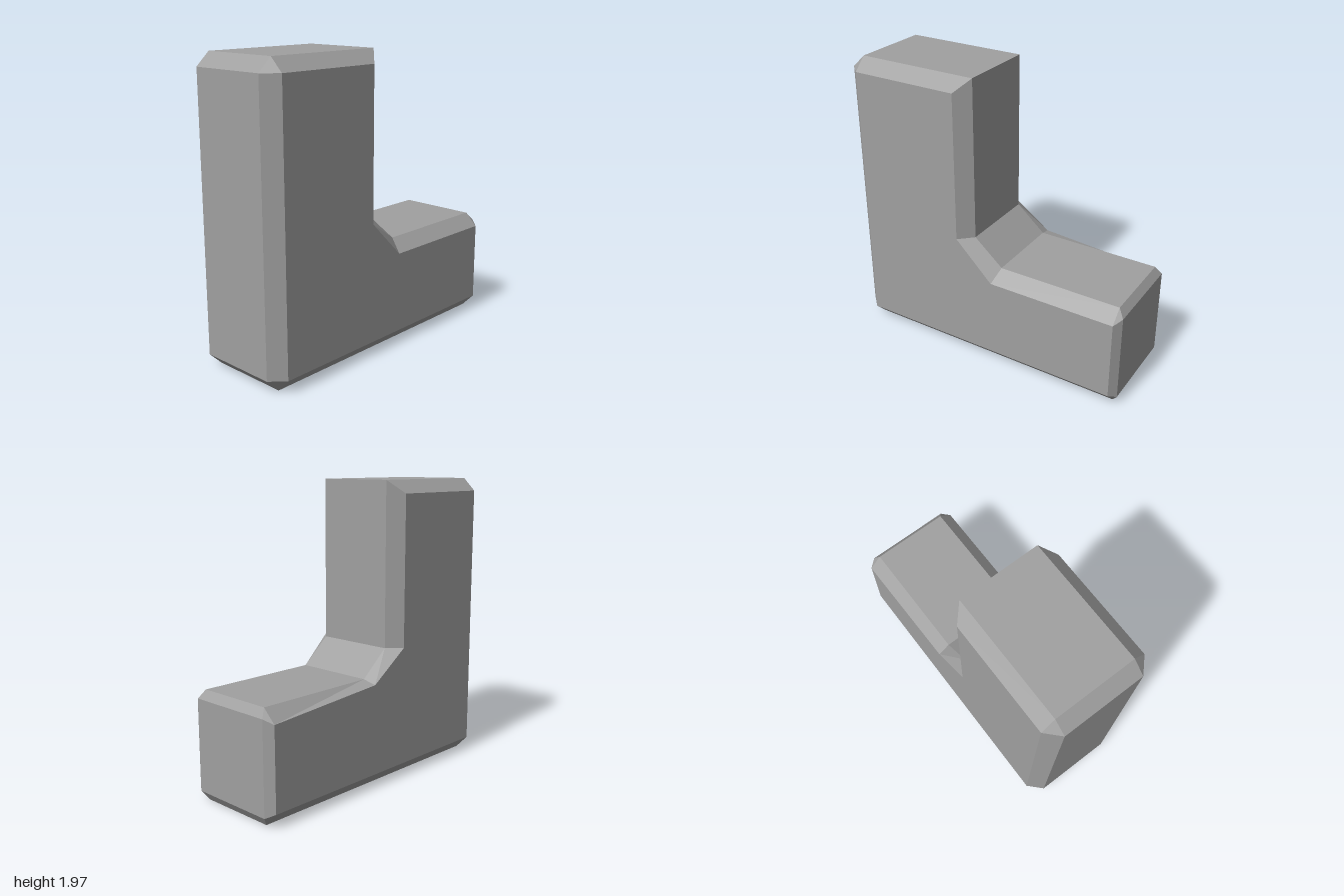
import * as THREE from 'three';

// Outline of the bevelled L, counter-clockwise from the front: x, y, half depth, index of its face corner
const RIM = [
  [-0.91, 0, 0.27, 0], [0.96, 0, 0.27, 1], [1, 0.06, 0.3, 1], [1, 0.66, 0.3, 2],
  [0.96, 0.715, 0.27, 2], [0.12, 0.715, 0.27, 3], [-0.08, 0.885, 0.27, 4],
  [-0.08, 1.965, 0.27, 5], [-0.91, 1.965, 0.27, 6], [-1, 1.88, 0.27, 6], [-1, 0.09, 0.27, 0],
];
const DEPTH = 0.357;

// Corners of a flat face; the inner elbow differs between front and back
const faceCorners = (elbow) => [
  [-0.91, 0.09], [0.96, 0.09], [0.96, 0.63], elbow, [-0.17, 0.885], [-0.17, 1.88], [-0.91, 1.88],
];

function bodyGeometry() {
  const front = faceCorners([0.09, 0.63]);
  const back = faceCorners([0.11, 0.69]);
  const rings = [
    RIM.map((p) => [...front[p[3]], DEPTH]),
    RIM.map(([x, y, z]) => [x, y, z]),
    RIM.map(([x, y, z]) => [x, y, -z]),
    RIM.map((p) => [...back[p[3]], -DEPTH]),
  ];
  const positions = [];
  const same = (p, q) => p.every((v, i) => v === q[i]);
  const triangle = (a, b, c) => {
    if (!same(a, b) && !same(b, c) && !same(c, a)) positions.push(...a, ...b, ...c);
  };

  // Bevels and sides between neighbouring rings
  for (let r = 0; r < 3; r++) {
    const a = rings[r], b = rings[r + 1];
    for (let i = 0; i < a.length; i++) {
      const j = (i + 1) % a.length;
      triangle(a[i], b[i], a[j]);
      triangle(b[i], b[j], a[j]);
    }
  }

  // Flat front and back faces
  const cap = (corners, z, flip) => {
    const outline = corners.map(([x, y]) => new THREE.Vector2(x, y));
    for (const tri of THREE.ShapeUtils.triangulateShape(outline, [])) {
      const [p, q, s] = tri.map((i) => [...corners[i], z]);
      if (flip) triangle(p, s, q);
      else triangle(p, q, s);
    }
  };
  cap(front, DEPTH, false);
  cap(back, -DEPTH, true);

  const geometry = new THREE.BufferGeometry();
  geometry.setAttribute('position', new THREE.Float32BufferAttribute(positions, 3));
  geometry.computeVertexNormals();
  return geometry;
}

export function createModel() {
  const grey = new THREE.MeshStandardMaterial({ color: 0xa0a0a0 });
  grey.name = 'grey';

  const body = new THREE.Mesh(bodyGeometry(), grey);
  body.name = 'bevelledLBlock';

  const model = new THREE.Group();
  model.name = 'cornerBlock';
  model.add(body);
  return model;
}
